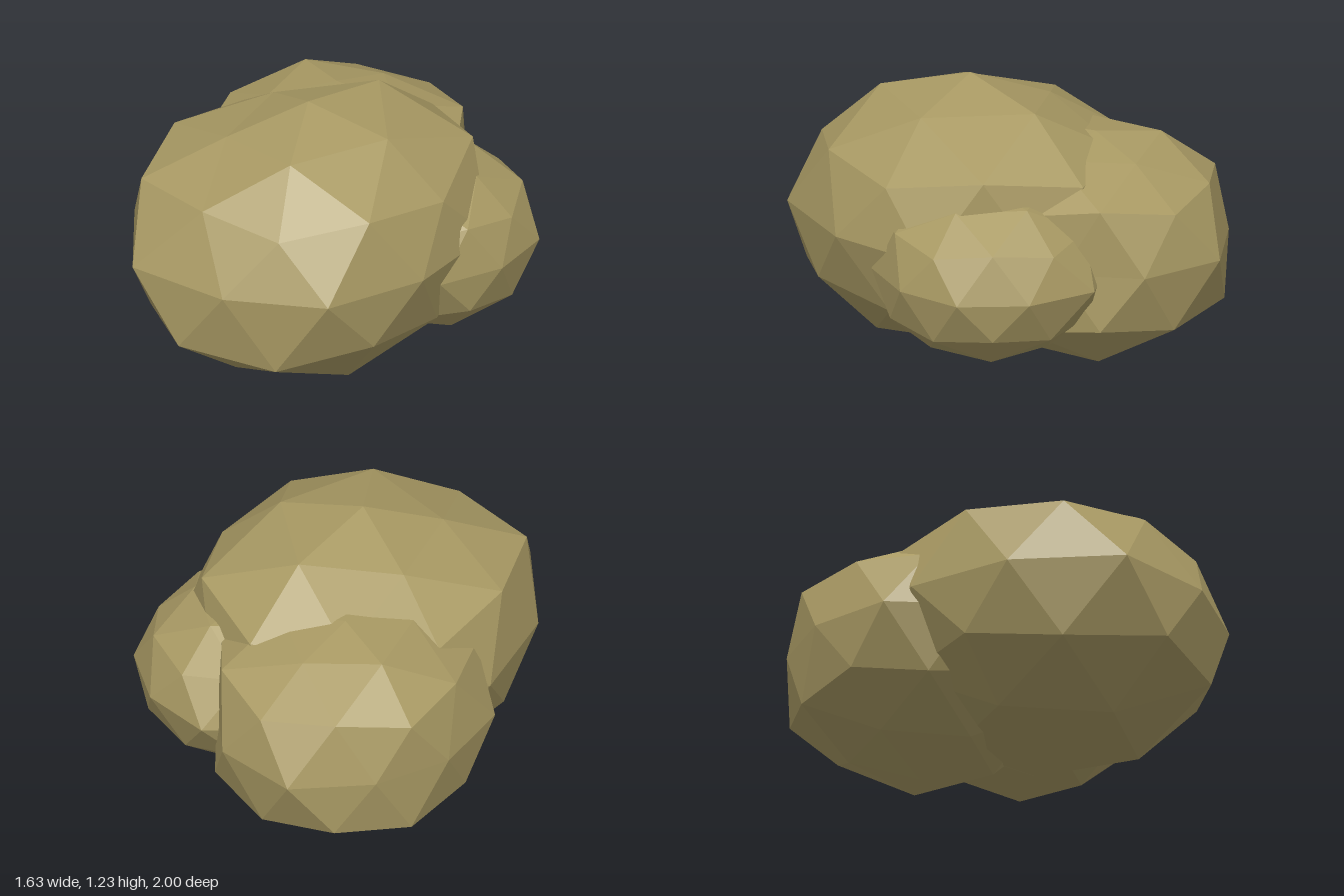
import * as THREE from 'three';

const stone = new THREE.MeshStandardMaterial({ color: 0xa89963 });
stone.name = 'stone';

// Unit direction from elevation and azimuth in degrees (azimuth 0 = +x, 90 = +z)
function direction(elevation, azimuth) {
  const e = THREE.MathUtils.degToRad(elevation), a = THREE.MathUtils.degToRad(azimuth);
  return new THREE.Vector3(Math.cos(e) * Math.cos(a), Math.sin(e), Math.cos(e) * Math.sin(a));
}

// Faceted boulder: a subdivided icosahedron standing on one corner, with
// single corners pushed in or out: [elevation, azimuth, factor]
function boulder(name, center, radii, pushes) {
  const geo = new THREE.IcosahedronGeometry(1, 1);
  geo.rotateZ(-Math.atan(2 / (1 + Math.sqrt(5))));
  const corners = pushes.map(([e, a, factor]) => ({ dir: direction(e, a), factor }));
  const pos = geo.attributes.position;
  const v = new THREE.Vector3();
  for (let i = 0; i < pos.count; i++) {
    v.fromBufferAttribute(pos, i);
    const hit = corners.find((c) => c.dir.dot(v) > 0.985);
    if (hit) v.multiplyScalar(hit.factor);
    pos.setXYZ(i, v.x, v.y, v.z);
  }
  geo.scale(...radii);
  geo.computeVertexNormals(); // unshared corners give flat facets
  const mesh = new THREE.Mesh(geo, stone);
  mesh.name = name;
  mesh.position.set(...center);
  return mesh;
}

export function createModel() {
  const group = new THREE.Group();
  group.name = 'rockCluster';

  // Large front boulder
  group.add(boulder('mainBoulder', [-0.05, 0.63, 0.2], [0.74, 0.595, 0.8], [
    [58.3, 144, 0.9], [58.3, 72, 0.98], [58.3, -72, 1.05], [58.3, -144, 0.91],
    [31.7, 180, 1.04], [26.6, 144, 1.08], [31.7, 108, 0.97], [26.6, 72, 0.95],
    [31.7, -36, 1.12], [26.6, -72, 1.08],
    [0, 54, 1.02], [0, 126, 1.11], [0, 18, 0.98], [0, 162, 1.02], [0, -18, 1.06],
    [-26.6, 108, 1.13], [-31.7, 72, 1.1], [-26.6, 36, 1.02], [-31.7, 144, 1.07],
    [-58.3, 36, 1.07], [-58.3, 108, 1.07], [-90, 0, 0.95],
  ]));

  // Back boulder on the right-hand side
  group.add(boulder('backBoulder', [-0.2, 0.56, -0.35], [0.65, 0.56, 0.65], [
    [90, 0, 0.83], [58.3, -72, 0.83], [58.3, -144, 0.89], [58.3, 144, 0.88], [58.3, 0, 0.88],
    [31.7, -108, 0.93], [26.6, -144, 0.95], [26.6, -72, 0.97], [31.7, 180, 0.94],
    [0, -126, 0.89], [0, -162, 0.91], [0, -54, 0.96], [0, -18, 0.86],
    [-26.6, 180, 0.97], [-58.3, 180, 0.94], [-58.3, -108, 0.93],
  ]));

  // Small boulder on the left-hand side
  group.add(boulder('sideBoulder', [0.33, 0.52, -0.15], [0.51, 0.4, 0.51], [
    [58.3, 0, 0.97], [90, 0, 0.92], [26.6, 0, 0.95],
    [0, -90, 1.08], [0, 18, 0.96], [-90, 0, 0.91],
  ]));

  return group;
}
